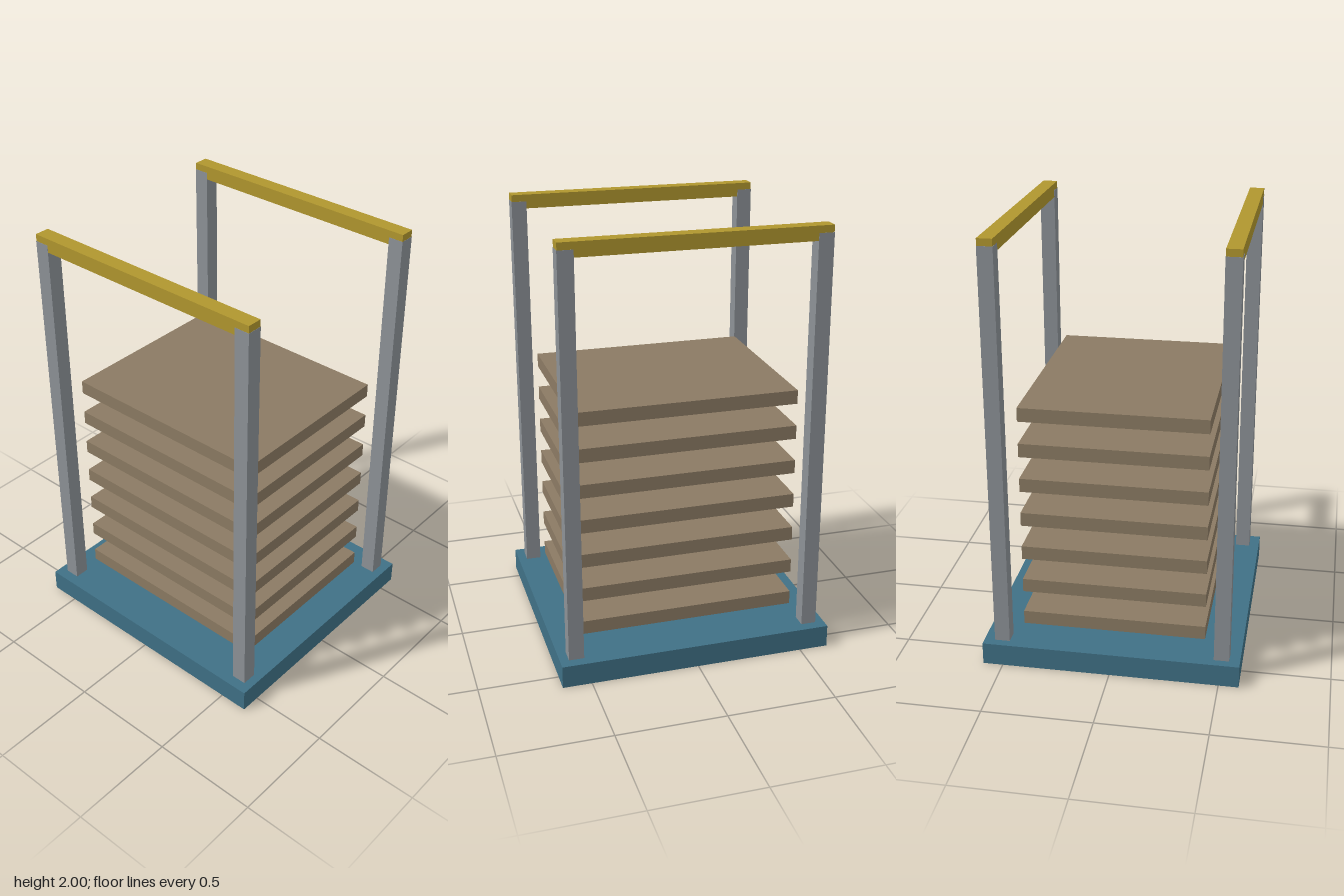
import * as THREE from 'three';

const material = (color) => new THREE.MeshStandardMaterial({ color });

export function createModel() {
  const model = new THREE.Group();
  model.name = 'trayStackRack';

  const blue = material(0x3f7085);
  const steel = material(0x8c9196);
  const yellow = material(0xb0962e);
  const brown = material(0x8b7a63);

  // Box placed by its centre in x and z and its bottom in y
  function box(name, w, h, d, x, bottom, z, mat, parent = model) {
    const mesh = new THREE.Mesh(new THREE.BoxGeometry(w, h, d), mat);
    mesh.name = name;
    mesh.position.set(x, bottom + h / 2, z);
    parent.add(mesh);
    return mesh;
  }

  // Base platform
  box('base', 1.268, 0.105, 1.184, 0, 0, 0, blue);

  // Evenly spaced stack of trays
  const trays = new THREE.Group();
  trays.name = 'trays';
  model.add(trays);
  for (let i = 0; i < 7; i++) {
    box('tray' + (i + 1), 1.014, 0.064, 0.846, 0, 0.156 + i * 0.169, 0, brown, trays);
  }

  // Front and back frames: two posts under a top rail
  for (const [side, s] of [['front', 1], ['back', -1]]) {
    const frame = new THREE.Group();
    frame.name = side + 'Frame';
    model.add(frame);
    const z = s * 0.508;
    for (const [hand, x] of [['Left', 0.558], ['Right', -0.558]]) {
      box(side + hand + 'Post', 0.07, 1.863, 0.07, x, 0.105, z, steel, frame);
    }
    // Rail is a hair slimmer than the posts it is let into
    box(side + 'TopRail', 1.184, 0.065, 0.068, 0, 1.935, z, yellow, frame);
  }

  return model;
}
